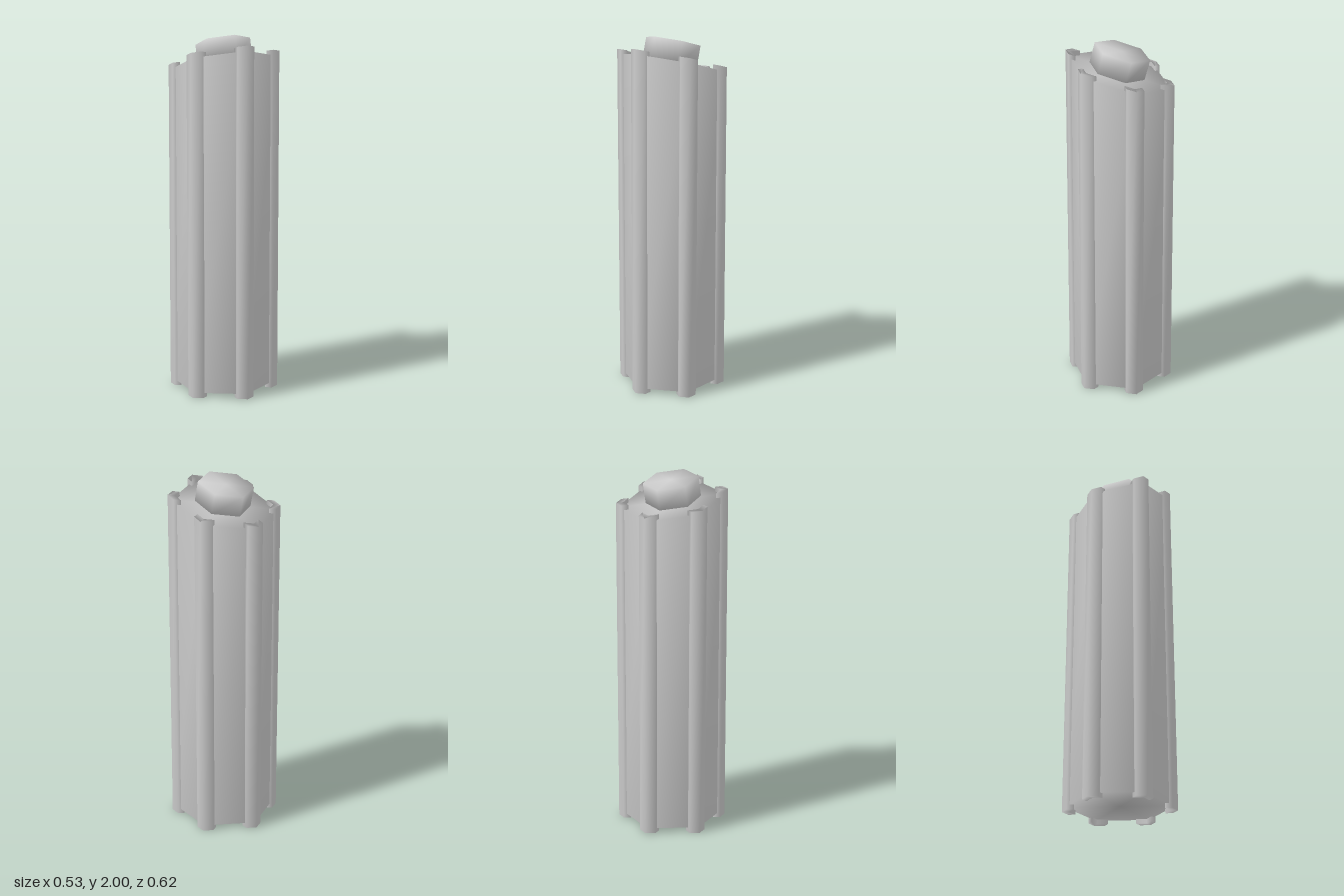
import * as THREE from 'three';

const TILT = THREE.MathUtils.degToRad(15);
const SLOPE = Math.sin(TILT);
const SQUASH = Math.cos(TILT);

// Hexagon with a corner towards +z, as [x, z] points
const hexagon = (r) => Array.from({ length: 6 }, (_, i) => {
  const a = (i * Math.PI) / 3;
  return [r * Math.sin(a), r * Math.cos(a)];
});

// Closed prism with shared, smoothly shaded vertices; bottom and top map [x, z] to a 3D point
function prism(outline, bottom, top, centre) {
  const n = outline.length;
  const pos = [...outline.flatMap(bottom), ...outline.flatMap(top)];
  if (centre) pos.push(...bottom([0, 0]), ...top([0, 0]));
  const index = [];
  for (let i = 0; i < n; i++) {
    const j = (i + 1) % n;
    index.push(i, j, n + j, i, n + j, n + i);
    if (centre) index.push(2 * n, j, i, 2 * n + 1, n + i, n + j);
    else if (i > 0 && j > 0) index.push(0, j, i, n, n + i, n + j);
  }
  const geo = new THREE.BufferGeometry();
  geo.setAttribute('position', new THREE.Float32BufferAttribute(pos, 3));
  geo.setIndex(index);
  geo.computeVertexNormals();
  return geo;
}

const flatAt = (y) => ([x, z]) => [x, y, z];
const slantedAt = (y) => ([x, z]) => [x, y + z * SLOPE, z * SQUASH];

export function createModel() {
  const model = new THREE.Group();
  const material = new THREE.MeshStandardMaterial({ color: 0xcccccc });
  const add = (name, geometry) => {
    const mesh = new THREE.Mesh(geometry, material);
    mesh.name = name;
    model.add(mesh);
    return mesh;
  };

  // Hexagonal column with a slanted top
  add('column', prism(hexagon(0.291), flatAt(0.025), slantedAt(1.845), true));

  // V-shaped trim wrapped round each corner
  const vee = [[0, 0.308], [0.05, 0.279], [0.05, 0.239], [0, 0.268], [-0.05, 0.239], [-0.05, 0.279]];
  for (let i = 0; i < 6; i++) {
    const a = (i * Math.PI) / 3, c = Math.cos(a), s = Math.sin(a);
    const outline = vee.map(([x, z]) => [x * c + z * s, z * c - x * s]);
    add('cornerTrim' + (i + 1), prism(outline, flatAt(0), slantedAt(1.87), false));
  }

  // Small tilted hexagonal cap standing on the slanted top
  const capOutline = hexagon(0.151).map(([x, z]) => [x, z * 1.03]);
  const cap = add('cap', prism(capOutline, flatAt(0), flatAt(0.12), true));
  cap.position.set(0, 1.844, 0.017);
  cap.rotation.x = -TILT;

  return model;
}
